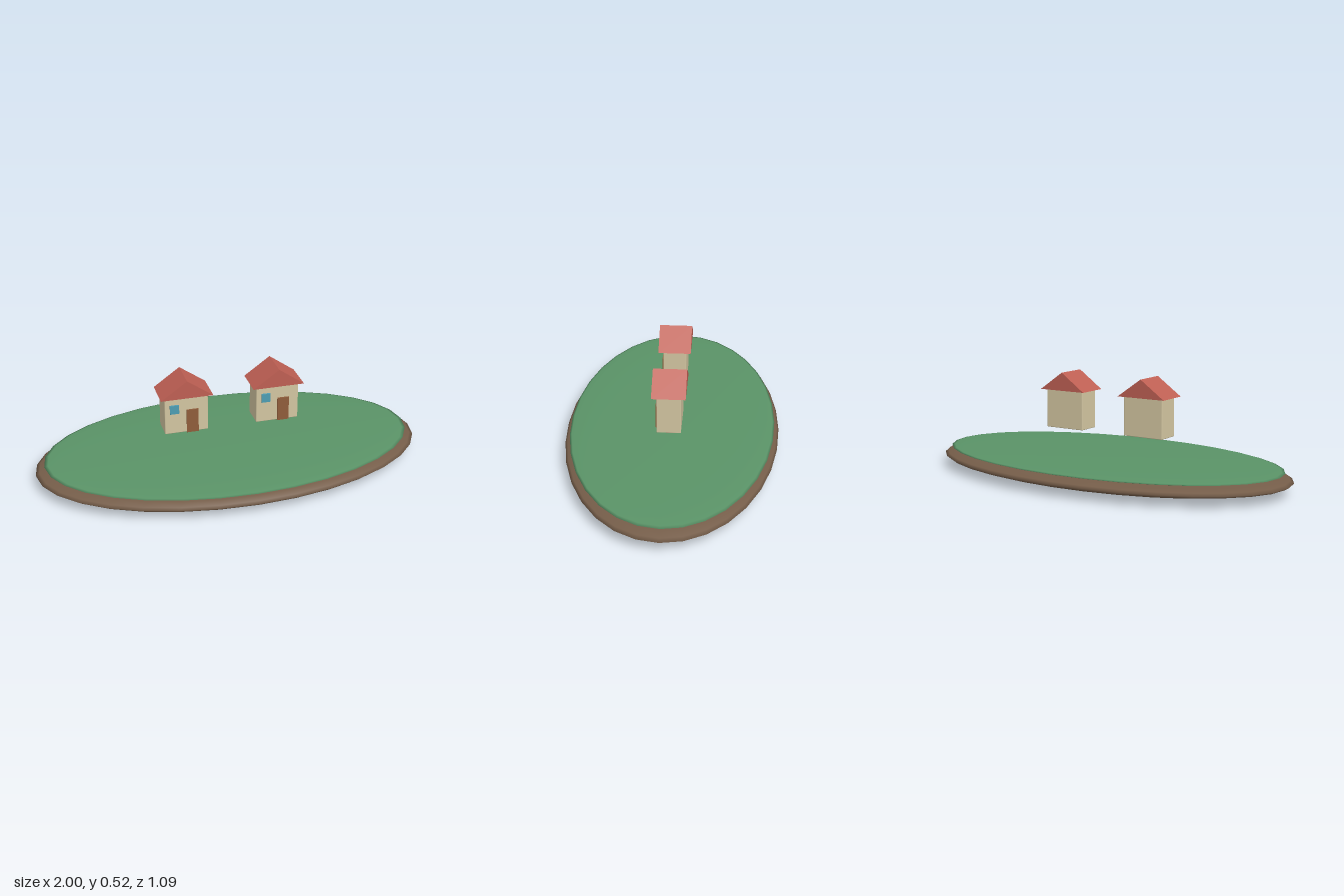
import * as THREE from 'three';
import { RoundedBoxGeometry } from 'three/addons/geometries/RoundedBoxGeometry.js';

const material = (name, color) => {
  const m = new THREE.MeshStandardMaterial({ color });
  m.name = name;
  return m;
};

export function createModel() {
  const soil = material('soil brown', 0x755d49);
  const grass = material('grass green', 0x5a9367);
  const wall = material('cream wall', 0xd3c6a1);
  const roofRed = material('roof red', 0xbe5f53);
  const wood = material('door brown', 0x8f5d3b);
  const glass = material('window blue', 0x4d9db3);

  const model = new THREE.Group();
  model.name = 'islandWithHouses';

  const add = (parent, name, geometry, mat, x, y, z) => {
    const mesh = new THREE.Mesh(geometry, mat);
    mesh.name = name;
    mesh.position.set(x, y, z);
    parent.add(mesh);
    return mesh;
  };

  // Flattened ellipsoids: earth below, thin turf on top
  const ball = new THREE.SphereGeometry(1, 32, 16);
  add(model, 'earth', ball, soil, 0, 0.06, 0).scale.set(1, 0.06, 0.545);
  add(model, 'turf', ball, grass, 0, 0.103, 0).scale.set(0.955, 0.0185, 0.522);

  // Gabled roof prism, ridge running front to back
  const gable = new THREE.Shape([
    new THREE.Vector2(-0.133, 0),
    new THREE.Vector2(0.133, 0),
    new THREE.Vector2(0, 0.094),
  ]);
  const roofGeometry = new THREE.ExtrudeGeometry(gable, { depth: 0.166, bevelEnabled: false });
  roofGeometry.translate(0, 0, -0.083);

  const wallGeometry = new RoundedBoxGeometry(0.222, 0.2, 0.119, 2, 0.004);
  const doorGeometry = new THREE.BoxGeometry(0.06, 0.126, 0.009);
  const windowGeometry = new THREE.BoxGeometry(0.046, 0.046, 0.009);

  // Two matching houses hovering above the turf
  for (const side of [-1, 1]) {
    const house = new THREE.Group();
    house.name = side < 0 ? 'rightHouse' : 'leftHouse';
    house.position.set(side * 0.237, 0.23, 0);
    add(house, 'walls', wallGeometry, wall, 0, 0.1, 0);
    add(house, 'roof', roofGeometry, roofRed, 0, 0.2, 0);
    add(house, 'door', doorGeometry, wood, 0.03, 0.063, 0.0625);
    add(house, 'window', windowGeometry, glass, -0.062, 0.136, 0.0645);
    model.add(house);
  }

  return model;
}
